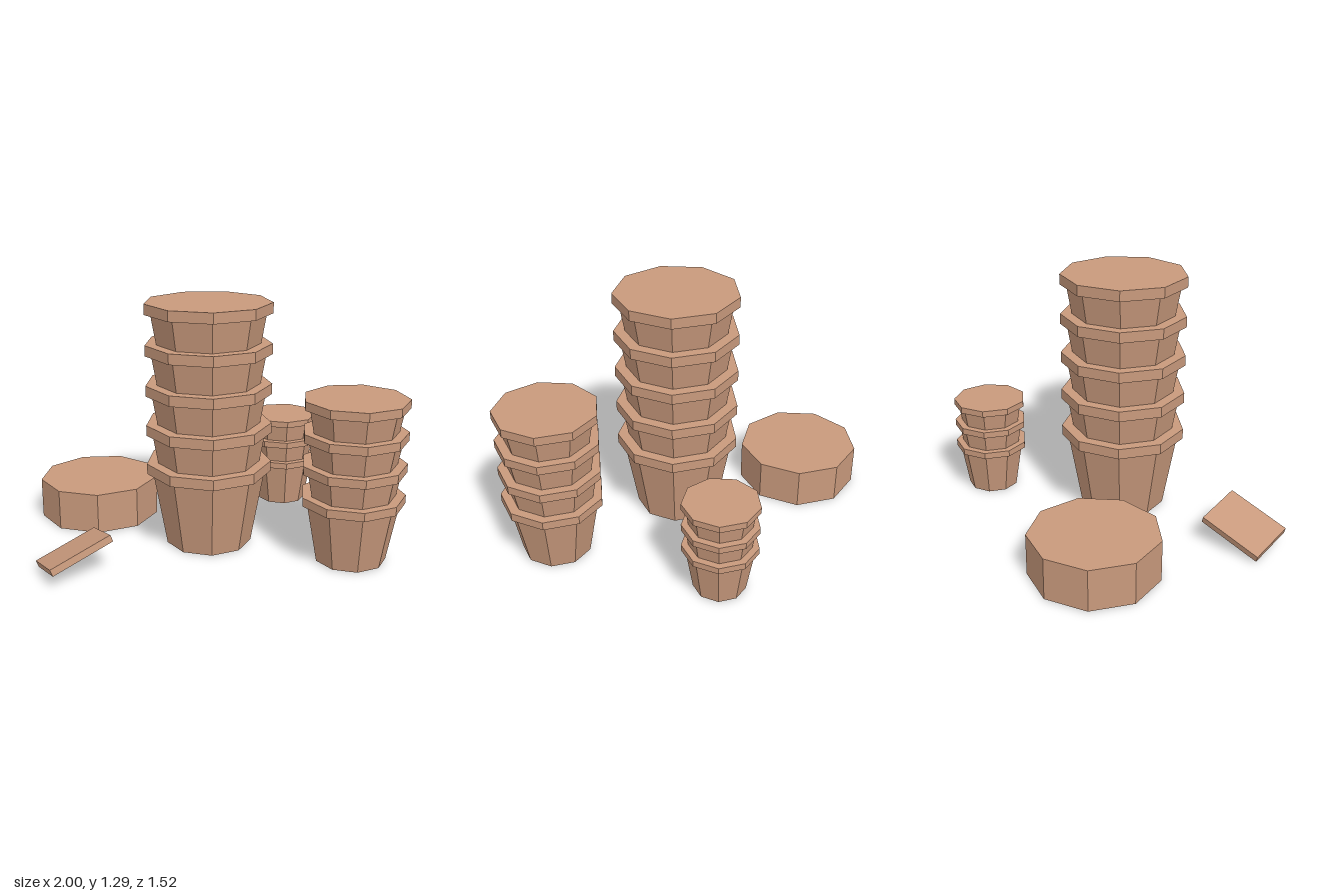
import * as THREE from 'three';

const SIDES = 9;
const clay = new THREE.MeshStandardMaterial({ color: 0xc8997c, flatShading: true });

// Nine-sided drum standing on y, with one corner pointing to +x
function drum(name, rTop, rBottom, height, y) {
  const geo = new THREE.CylinderGeometry(rTop, rBottom, height, SIDES, 1, false, Math.PI / 2);
  const mesh = new THREE.Mesh(geo, clay);
  mesh.name = name;
  mesh.position.y = y + height / 2;
  return mesh;
}

// Tapered pot with an overhanging rim band
function pot({ rim, top, bottom, height, band }) {
  const g = new THREE.Group();
  g.name = 'pot';
  g.add(drum('potBody', top, bottom, height - band, 0));
  g.add(drum('potRim', rim, rim, band, height - band));
  return g;
}

// Pots nested in one another, each raised by a fixed step
function potStack(name, x, z, count, step, size) {
  const g = new THREE.Group();
  g.name = name;
  for (let i = 0; i < count; i++) {
    const p = pot(size);
    p.position.y = i * step;
    g.add(p);
  }
  g.position.set(x, 0, z);
  return g;
}

export function createModel() {
  const model = new THREE.Group();
  model.name = 'flowerPots';

  // Three stacks of nested pots
  model.add(potStack('largePotStack', -0.02, 0.1, 5, 0.21,
    { rim: 0.33, top: 0.298, bottom: 0.227, height: 0.455, band: 0.055 }));
  model.add(potStack('mediumPotStack', 0.732, 0.268, 4, 0.167,
    { rim: 0.268, top: 0.242, bottom: 0.184, height: 0.355, band: 0.045 }));
  model.add(potStack('smallPotStack', 0.355, -0.567, 3, 0.126,
    { rim: 0.197, top: 0.176, bottom: 0.137, height: 0.27, band: 0.034 }));

  // Low wide planter
  const planter = drum('lowPlanter', 0.332, 0.332, 0.22, 0);
  planter.position.x = -0.687;
  planter.position.z = -0.233;
  model.add(planter);

  // Loose tile, turned about y and then tilted about z
  const tile = new THREE.Mesh(new THREE.BoxGeometry(0.34, 0.036, 0.253), clay);
  tile.name = 'looseTile';
  tile.rotation.set(0, 0.6, 0.4, 'ZYX');
  tile.position.set(-0.648, 0.107, 0.56);
  model.add(tile);

  return model;
}
